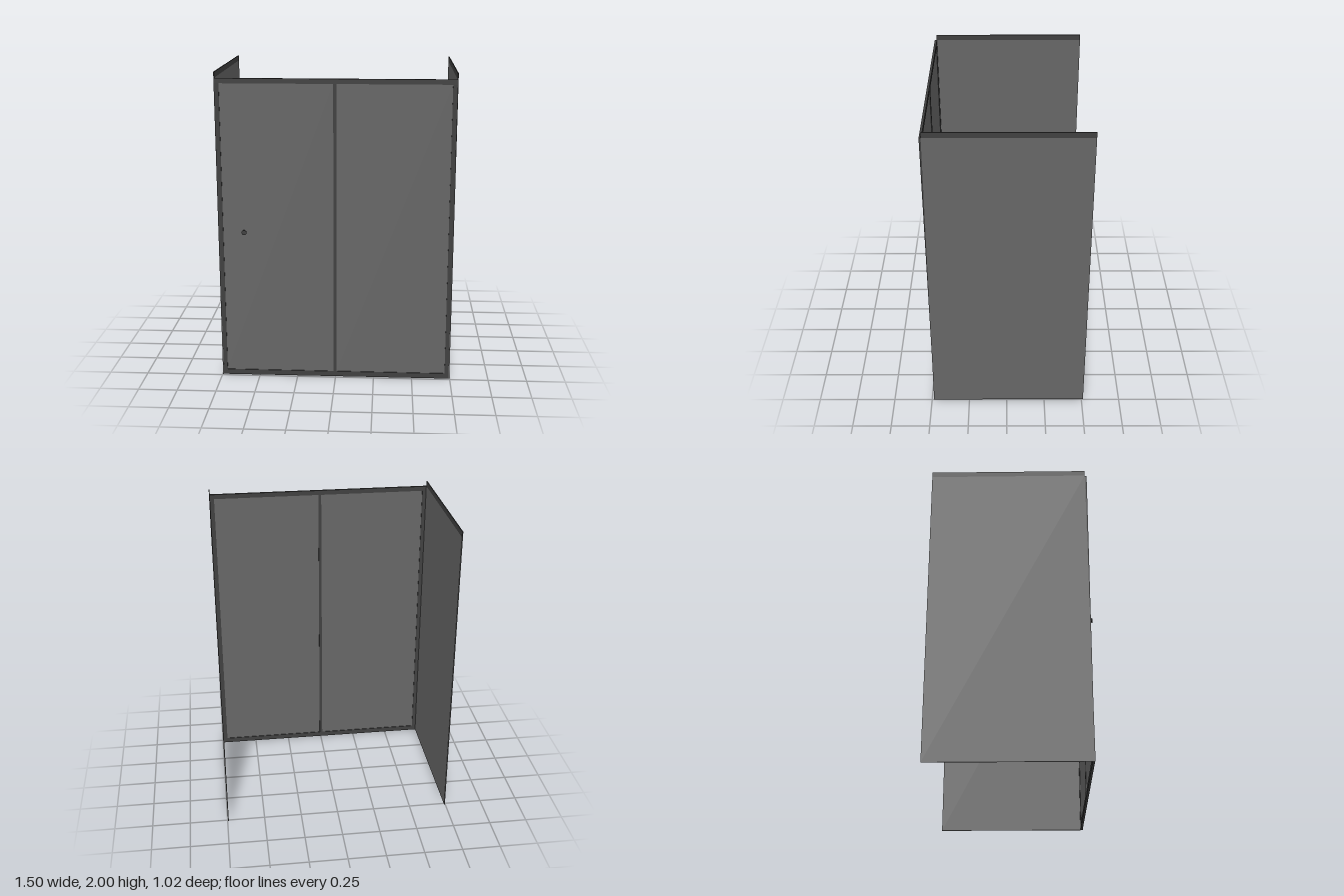
import * as THREE from 'three';

const panelMat = new THREE.MeshStandardMaterial({ color: 0x666666 });
panelMat.name = 'grey panel';
const frameMat = new THREE.MeshStandardMaterial({ color: 0x404040 });
frameMat.name = 'dark frame';

// Box given by its minimum and maximum corners
function block(name, mat, [x0, y0, z0], [x1, y1, z1]) {
  const mesh = new THREE.Mesh(new THREE.BoxGeometry(x1 - x0, y1 - y0, z1 - z0), mat);
  mesh.position.set((x0 + x1) / 2, (y0 + y1) / 2, (z0 + z1) / 2);
  mesh.name = name;
  return mesh;
}

function knobPart(name, radius, z0, z1) {
  const geo = new THREE.CylinderGeometry(radius, radius, z1 - z0, 24).rotateX(Math.PI / 2);
  const mesh = new THREE.Mesh(geo, frameMat);
  mesh.position.set(-0.58, 0.985, (z0 + z1) / 2);
  mesh.name = name;
  return mesh;
}

export function createModel() {
  const model = new THREE.Group();
  model.name = 'slidingDoorEnclosure';

  // Side walls with a dark strip along the top
  for (const [side, s] of [['left', 1], ['right', -1]]) {
    const a = Math.min(s * 0.742, s * 0.748);
    const b = Math.max(s * 0.742, s * 0.748);
    model.add(block(side + 'Wall', panelMat, [a, 0, -0.511], [b, 1.965, 0.487]));
    model.add(block(side + 'WallTopStrip', frameMat, [a, 1.965, -0.511], [b, 2, 0.487]));
  }

  // Front frame, leaning very slightly forward
  const front = new THREE.Group();
  front.name = 'doorFront';
  const W = 0.746, H = 1.963, D = 0.0075;
  front.add(
    block('bottomRail', frameMat, [-W, 0, -D], [W, 0.035, D]),
    block('topRail', frameMat, [-W, 1.932, -D], [W, H, D]),
    block('rightStile', frameMat, [-W, 0.035, -D], [-0.716, 1.932, D]),
    block('leftStile', frameMat, [0.716, 0.035, -D], [W, 1.932, D]),
    block('centreMullion', frameMat, [-0.012, 0.035, -D], [0.007, 1.932, D]),
    block('rightDoorPanel', panelMat, [-0.716, 0.035, -0.003], [-0.012, 1.932, 0.003]),
    block('leftDoorPanel', panelMat, [0.007, 0.035, -0.003], [0.716, 1.932, 0.003]),
  );
  front.position.z = 0.477;
  front.rotation.x = 0.0074;
  model.add(front);

  // Door knob: stem and flat disc
  model.add(knobPart('knobStem', 0.006, 0.484, 0.507));
  model.add(knobPart('knobDisc', 0.016, 0.506, 0.511));
  return model;
}
